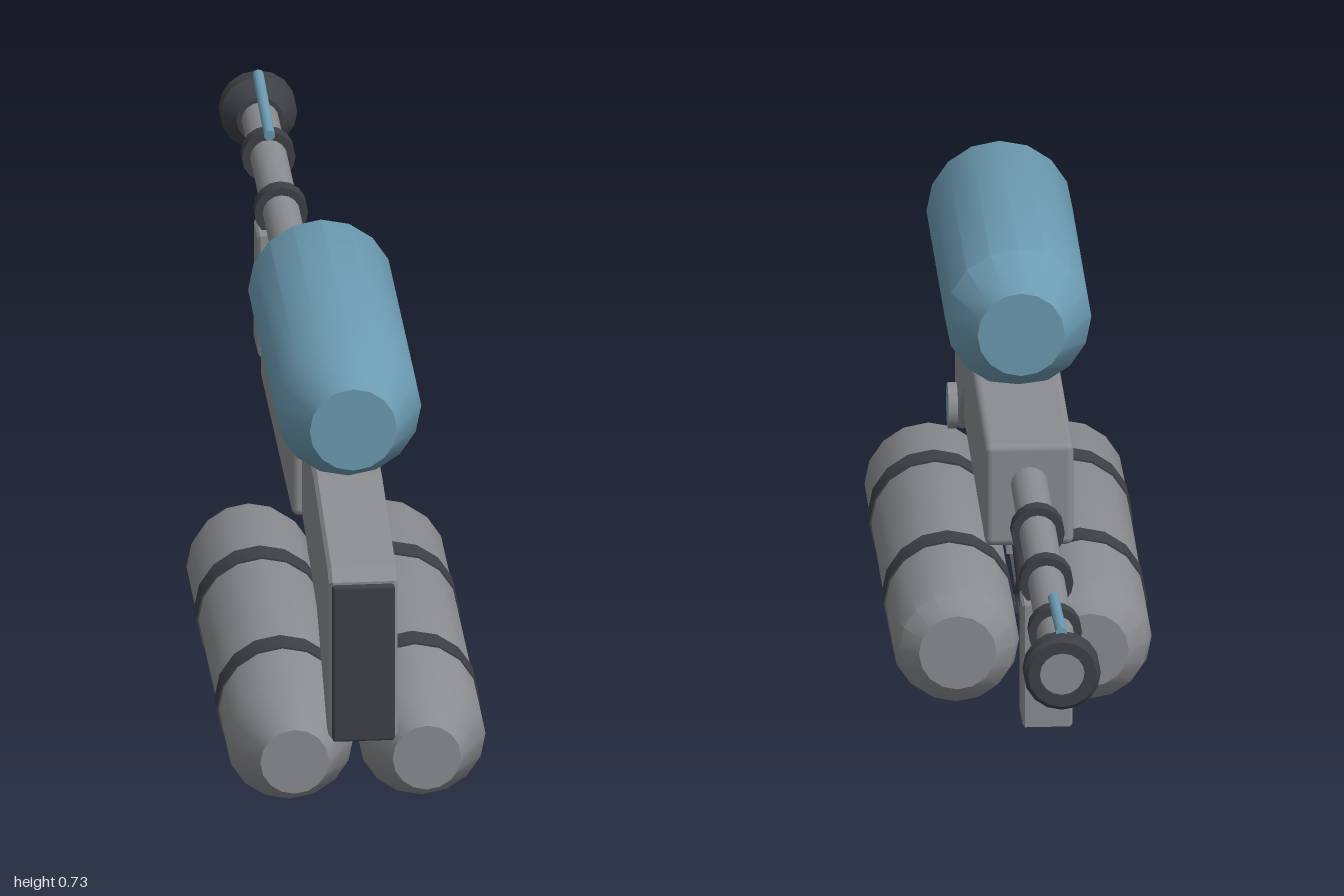
import * as THREE from 'three';
import { toCreasedNormals } from 'three/addons/utils/BufferGeometryUtils.js';
import { RoundedBoxGeometry } from 'three/addons/geometries/RoundedBoxGeometry.js';

const mat = (name, color) => {
  const m = new THREE.MeshStandardMaterial({ color });
  m.name = name;
  return m;
};

export function createModel() {
  const root = new THREE.Group();
  root.name = 'tankRifle';
  const grey = mat('metalGrey', 0x8b8c90);
  const dark = mat('darkRubber', 0x3d4045);
  const blue = mat('tankBlue', 0x6c9bb2);

  const add = (name, geometry, material, x = 0, y = 0, z = 0) => {
    const mesh = new THREE.Mesh(geometry, material);
    mesh.name = name;
    mesh.position.set(x, y, z);
    root.add(mesh);
    return mesh;
  };
  // Round part along z from [radius, z] pairs, z increasing
  const turned = (profile, sides = 16) => {
    const g = new THREE.LatheGeometry(profile.map(([r, z]) => new THREE.Vector2(r, z)), sides);
    g.rotateX(Math.PI / 2);
    return toCreasedNormals(g, 0.6);
  };
  const ring = (r, width, sides = 16) =>
    turned([[0, -width / 2], [r, -width / 2], [r, width / 2], [0, width / 2]], sides);
  // Side outline of [z, y] pairs, extruded across x
  const sideCut = (points, width, bevel) => {
    const shape = new THREE.Shape(points.map(([z, y]) => new THREE.Vector2(z, y)));
    const depth = width - 2 * bevel;
    const g = new THREE.ExtrudeGeometry(shape, {
      depth, bevelEnabled: bevel > 0, bevelThickness: bevel, bevelSize: bevel,
      bevelOffset: -bevel, bevelSegments: 1,
    });
    g.translate(0, 0, -depth / 2);
    g.rotateY(-Math.PI / 2);
    return g;
  };
  // Straight rod between two [z, y] points
  const rod = (name, a, b, r, material) => {
    const p = new THREE.Vector3(0, a[1], a[0]);
    const q = new THREE.Vector3(0, b[1], b[0]);
    const mesh = add(name, new THREE.CylinderGeometry(r, r, p.distanceTo(q), 10), material);
    mesh.position.copy(p).lerp(q, 0.5);
    mesh.quaternion.setFromUnitVectors(new THREE.Vector3(0, 1, 0), q.sub(p).normalize());
  };

  // Upper tank
  add('upperTank', turned([[0, 0.12], [0.07, 0.12], [0.117, 0.2], [0.117, 0.71], [0.07, 0.805], [0, 0.805]]),
    blue, 0, 0.617);

  // Lower tanks with straps
  for (const side of [-1, 1]) {
    const name = side > 0 ? 'left' : 'right';
    add(name + 'LowerTank', turned([
      [0, 0.048], [0.062, 0.048], [0.092, 0.075], [0.102, 0.11],
      [0.102, 0.85], [0.055, 0.945], [0, 0.945]]), grey, side * 0.106, 0.105);
    for (const z of [0.31, 0.69]) add(name + 'TankStrap', ring(0.105, 0.05), dark, side * 0.106, 0.105, z);
  }
  for (const z of [0.31, 0.69]) add('strapBridge', new THREE.BoxGeometry(0.04, 0.014, 0.05), dark, 0, 0.092, z);

  // Receiver, stock and butt pad
  add('receiver', new RoundedBoxGeometry(0.142, 0.173, 0.59, 2, 0.012), grey, 0, 0.425, 0.19);
  add('stock', sideCut([
    [0.47, 0.343], [0.76, 0.29], [0.95, 0.16], [0.99, 0.16], [0.99, 0.43], [0.965, 0.447],
    [0.705, 0.498], [0.47, 0.513]], 0.11, 0.006), grey);
  add('buttPad', new RoundedBoxGeometry(0.1, 0.268, 0.03, 1, 0.005), dark, 0, 0.292, 0.985);

  // Pressure gauge on the left side
  const gauge = add('gauge', new THREE.CylinderGeometry(0.037, 0.037, 0.015, 20), [grey, blue, blue], 0.101, 0.44, 0.285);
  gauge.rotation.z = -Math.PI / 2;

  // Grip, trigger and guard
  add('grip', sideCut([[0.295, 0.2], [0.36, 0.2], [0.315, 0.35], [0.24, 0.35]], 0.06, 0.005), dark);
  add('guardFloor', new THREE.BoxGeometry(0.05, 0.008, 0.15), grey, 0, 0.258, 0.17);
  add('guardFront', new THREE.BoxGeometry(0.05, 0.09, 0.008), grey, 0, 0.3, 0.099);
  rod('trigger', [0.16, 0.345], [0.143, 0.295], 0.008, dark);

  // Barrel, collars and flared muzzle
  add('barrel', turned([[0, -0.99], [0.03, -0.99], [0.03, -0.09], [0, -0.09]]), grey, 0, 0.444);
  for (const z of [-0.32, -0.555, -0.79]) add('barrelCollar', ring(0.043, 0.028), dark, 0, 0.444, z);
  add('muzzle', turned([
    [0.036, -0.985], [0.036, -1], [0.055, -1], [0.062, -0.993], [0.062, -0.965],
    [0.038, -0.935], [0, -0.935]]), dark, 0, 0.444);
  add('muzzleBore', new THREE.CircleGeometry(0.037, 16), grey, 0, 0.444, -0.994).rotation.y = Math.PI;

  // Thin igniter line on top of the muzzle
  rod('igniterLine', [-0.76, 0.488], [-0.975, 0.506], 0.009, blue);

  // Foregrip block, slightly wider at the foot
  add('foregrip', sideCut([[-0.597, 0.21], [-0.508, 0.21], [-0.515, 0.415], [-0.592, 0.415]], 0.08, 0.004), grey);

  // Fuel line running under the barrel
  const path = [[0.235, 0.3], [-0.297, 0.205], [-0.945, 0.415]];
  rod('fuelLineRear', path[0], path[1], 0.017, dark);
  rod('fuelLineFront', path[1], path[2], 0.017, dark);
  add('fuelLineElbow', new THREE.SphereGeometry(0.017, 10, 8), dark, 0, path[1][1], path[1][0]);

  return root;
}
